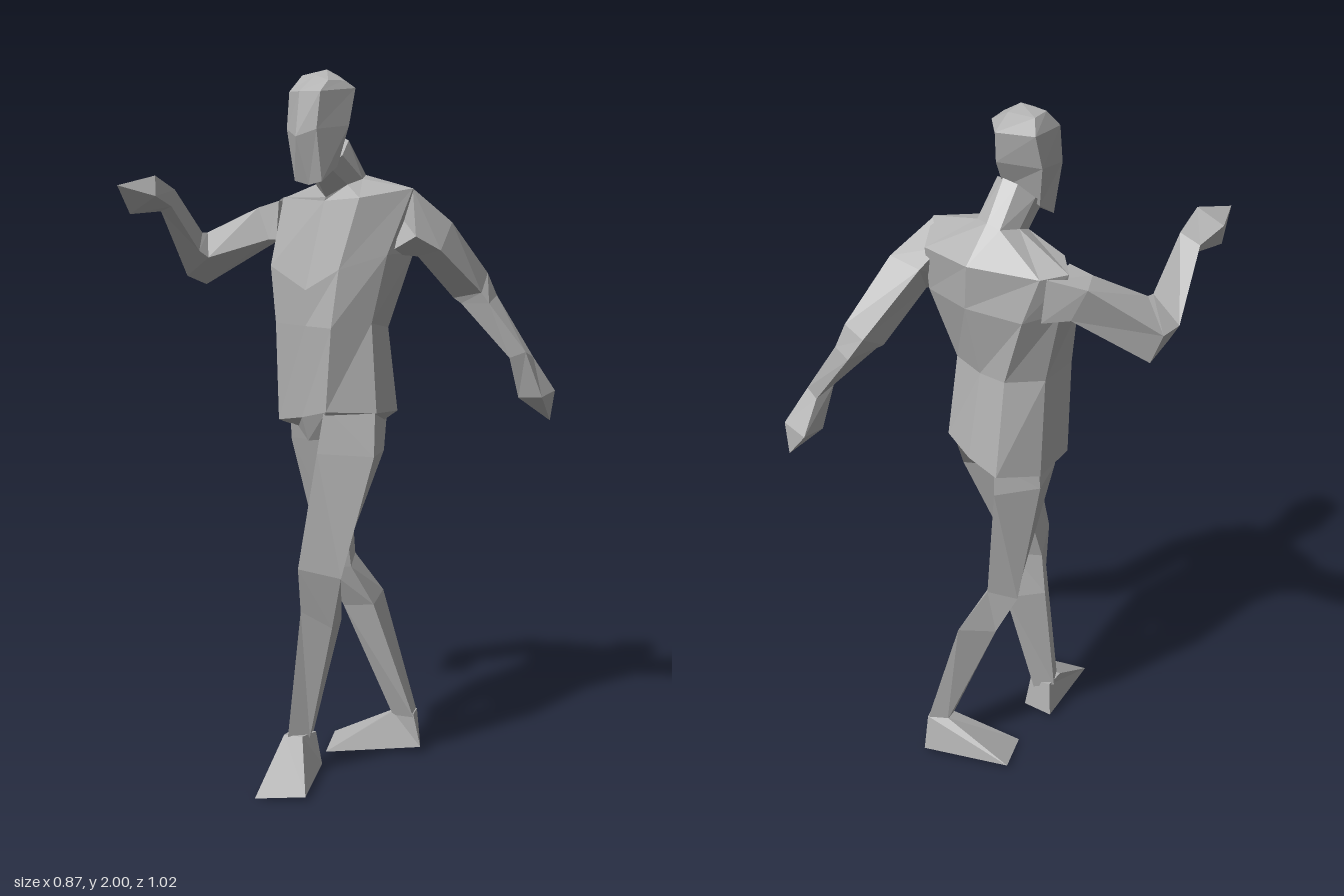
import * as THREE from 'three';

const grey = new THREE.MeshStandardMaterial({ color: 0xb0b0b0, flatShading: true });
grey.name = 'matte grey';

// Skins a list of cross-sections (a one-point section makes a tip) and closes both ends.
function loft(name, rings) {
  const tris = [];
  const n = Math.max(...rings.map((r) => r.length));
  const at = (ring, j) => ring[j % ring.length];
  const mid = (ring) => [0, 1, 2].map((k) => ring.reduce((s, p) => s + p[k], 0) / ring.length);
  for (let i = 0; i < rings.length - 1; i++) {
    const lo = rings[i], hi = rings[i + 1];
    for (let j = 0; j < n; j++) {
      tris.push([at(lo, j), at(lo, j + 1), at(hi, j + 1)]);
      if (hi.length > 1) tris.push([at(lo, j), at(hi, j + 1), at(hi, j)]);
      else tris[tris.length - 1][2] = hi[0];
    }
  }
  const first = rings[0], last = rings[rings.length - 1];
  for (let j = 0; j < n; j++) {
    tris.push([at(first, j + 1), at(first, j), mid(first)]);
    if (last.length > 1) tris.push([at(last, j), at(last, j + 1), mid(last)]);
  }
  // Turn the skin outward if its enclosed volume comes out negative
  const c = new THREE.Vector3(...mid(rings.flat()));
  const vec = (p) => new THREE.Vector3(...p).sub(c);
  const volume = tris.reduce((s, [a, b, d]) => s + vec(a).dot(vec(b).cross(vec(d))), 0);
  if (volume < 0) tris.forEach((t) => t.reverse());
  const geo = new THREE.BufferGeometry();
  geo.setAttribute('position', new THREE.Float32BufferAttribute(tris.flat(2), 3));
  geo.computeVertexNormals();
  const mesh = new THREE.Mesh(geo, grey);
  mesh.name = name;
  return mesh;
}

// Torso sections run front, left, back, right in eight points
const crotch = [[-0.02, 0.97, 0.06], [0.04, 0.98, 0.05], [0.1, 1, 0], [0.08, 1, -0.1],
  [-0.02, 0.97, -0.1], [-0.08, 1, -0.14], [-0.13, 1, -0.07], [-0.09, 1, 0.03]];
const hips = [[-0.02, 1.04, 0.085], [0.08, 1.065, 0.09], [0.17, 1.06, -0.02], [0.13, 1.05, -0.15],
  [0, 1.04, -0.185], [-0.12, 1.03, -0.19], [-0.17, 1.01, -0.07], [-0.13, 1.02, 0.07]];
const waist = [[0, 1.3, 0.09], [0.1, 1.3, 0.09], [0.15, 1.31, -0.02], [0.12, 1.29, -0.12],
  [0, 1.29, -0.14], [-0.1, 1.3, -0.14], [-0.165, 1.3, -0.05], [-0.13, 1.3, 0.08]];
const chest = [[0, 1.4, 0.09], [0.105, 1.46, 0.065], [0.18, 1.5, -0.05], [0.16, 1.5, -0.18],
  [0, 1.5, -0.19], [-0.17, 1.5, -0.14], [-0.22, 1.52, -0.05], [-0.15, 1.46, 0.08]];
const shoulders = [[0.015, 1.645, 0.03], [0.13, 1.655, 0.01], [0.21, 1.68, -0.12], [0.15, 1.63, -0.2],
  [-0.02, 1.63, -0.2], [-0.21, 1.63, -0.115], [-0.25, 1.64, -0.05], [-0.17, 1.65, 0.01]];
const neckBase = [[0.02, 1.655, 0.03], [0.075, 1.69, 0], [0.085, 1.705, -0.05], [0.05, 1.715, -0.1],
  [0, 1.72, -0.11], [-0.04, 1.71, -0.1], [-0.05, 1.7, -0.04], [-0.03, 1.68, 0.01]];
const neckTop = [[0.03, 1.73, 0.09], [0.07, 1.74, 0.07], [0.085, 1.77, 0.03], [0.06, 1.81, -0.02],
  [0.02, 1.82, -0.035], [-0.02, 1.81, -0.02], [-0.045, 1.77, 0.02], [-0.02, 1.74, 0.07]];

// Head sections run front, front left, left, back, right, front right
const head = [
  [[0.04, 1.69, 0.115], [0.075, 1.7, 0.1], [0.085, 1.74, 0.05], [0.03, 1.79, -0.025], [-0.04, 1.74, 0.04], [-0.03, 1.7, 0.1]],
  [[0.03, 1.82, 0.155], [0.08, 1.84, 0.125], [0.1, 1.85, 0.02], [0.02, 1.87, -0.06], [-0.06, 1.85, 0.03], [-0.035, 1.84, 0.125]],
  [[0.03, 1.94, 0.14], [0.085, 1.94, 0.115], [0.105, 1.95, 0], [0.02, 1.95, -0.063], [-0.055, 1.94, 0.01], [-0.03, 1.94, 0.12]],
  [[0.03, 1.985, 0.08], [0.08, 1.97, 0.08], [0.09, 1.97, 0.03], [0.04, 1.985, 0], [-0.03, 1.98, 0.03], [-0.02, 1.985, 0.08]],
  [[0.04, 2, 0.045]],
];

// Arm sections run from the shoulder to the wrist in four points
const leftWrist = [[0.345, 1.18, -0.445], [0.385, 1.2, -0.445], [0.4, 1.22, -0.39], [0.35, 1.2, -0.38]];
const leftArm = [
  [[0.12, 1.63, -0.17], [0.2, 1.68, -0.13], [0.24, 1.55, -0.1], [0.15, 1.5, -0.08]],
  [[0.15, 1.57, -0.22], [0.25, 1.585, -0.24], [0.27, 1.51, -0.17], [0.185, 1.49, -0.17]],
  [[0.16, 1.42, -0.41], [0.245, 1.435, -0.405], [0.285, 1.385, -0.33], [0.19, 1.365, -0.32]],
  [[0.19, 1.36, -0.44], [0.26, 1.37, -0.43], [0.305, 1.355, -0.34], [0.21, 1.35, -0.33]],
  leftWrist,
];
const leftHand = [leftWrist,
  [[0.33, 1.085, -0.505], [0.415, 1.1, -0.51], [0.43, 1.09, -0.43], [0.345, 1.08, -0.43]],
  [[0.395, 1.01, -0.515]]];

const rightWrist = [[-0.36, 1.65, 0.32], [-0.305, 1.675, 0.3], [-0.285, 1.63, 0.33], [-0.33, 1.615, 0.33]];
const rightArm = [
  [[-0.22, 1.63, -0.1], [-0.2, 1.64, 0], [-0.19, 1.53, 0.02], [-0.2, 1.5, -0.1]],
  [[-0.32, 1.62, -0.05], [-0.26, 1.62, 0.025], [-0.22, 1.53, 0.02], [-0.27, 1.52, -0.06]],
  [[-0.435, 1.48, 0.115], [-0.34, 1.55, 0.15], [-0.315, 1.48, 0.17], [-0.405, 1.395, 0.1]],
  [[-0.42, 1.48, 0.19], [-0.34, 1.55, 0.17], [-0.32, 1.5, 0.2], [-0.385, 1.425, 0.19]],
  rightWrist,
];
const rightHand = [rightWrist,
  [[-0.36, 1.68, 0.41], [-0.28, 1.715, 0.39], [-0.255, 1.66, 0.41], [-0.33, 1.61, 0.44]],
  [[-0.295, 1.69, 0.51]]];

// Leg sections run front, left, back, right from the hip to the ankle
const leftLeg = [
  [[0.07, 1.08, 0.085], [0.165, 1.08, -0.02], [0.08, 1.04, -0.16], [0, 1, -0.03]],
  [[0.07, 0.95, 0.115], [0.18, 0.94, 0], [0.12, 0.94, -0.105], [0.015, 0.93, 0]],
  [[0.06, 0.63, 0.18], [0.14, 0.6, 0.09], [0.07, 0.585, 0.035], [0.005, 0.58, 0.1]],
  [[0.045, 0.5, 0.155], [0.105, 0.45, 0.09], [0.05, 0.45, -0.005], [-0.01, 0.45, 0.1]],
  [[-0.01, 0.11, 0.155], [0.025, 0.11, 0.1], [0, 0.1, 0.065], [-0.045, 0.11, 0.11]],
];
const rightLeg = [
  [[-0.1, 1.06, 0.05], [-0.01, 1, -0.04], [-0.09, 1.05, -0.17], [-0.16, 1.05, -0.07]],
  [[-0.1, 0.97, 0.05], [-0.015, 0.95, -0.05], [-0.1, 0.96, -0.18], [-0.17, 0.97, -0.07]],
  [[-0.04, 0.585, -0.02], [0.005, 0.58, -0.09], [-0.05, 0.6, -0.165], [-0.108, 0.575, -0.1]],
  [[-0.02, 0.46, -0.085], [0.04, 0.46, -0.15], [-0.01, 0.48, -0.245], [-0.068, 0.46, -0.15]],
  [[0.06, 0.11, -0.215], [0.12, 0.11, -0.24], [0.09, 0.11, -0.29], [0.045, 0.11, -0.25]],
];

// Feet are wedges from the ankle to a flat sole
const leftFoot = [
  [[-0.025, 0.12, 0.155], [0.025, 0.12, 0.13], [0.02, 0.12, 0.07], [-0.045, 0.12, 0.09]],
  [[0.05, 0, 0.34], [0.17, 0.015, 0.26], [0.03, 0.02, 0.055], [-0.06, 0.015, 0.08]],
];
const rightFoot = [
  [[0.045, 0.12, -0.25], [0.06, 0.12, -0.215], [0.12, 0.12, -0.24], [0.09, 0.12, -0.29]],
  [[-0.15, 0.015, -0.18], [-0.07, 0, -0.06], [0.14, 0.02, -0.25], [0.08, 0.015, -0.315]],
];

export function createModel() {
  const figure = new THREE.Group();
  figure.name = 'walkingFigure';
  const parts = {
    torso: [crotch, hips, waist, chest, shoulders, neckBase],
    neck: [neckBase, neckTop],
    head, leftArm, leftHand, rightArm, rightHand, leftLeg, rightLeg, leftFoot, rightFoot,
  };
  for (const [name, rings] of Object.entries(parts)) figure.add(loft(name, rings));
  return figure;
}
